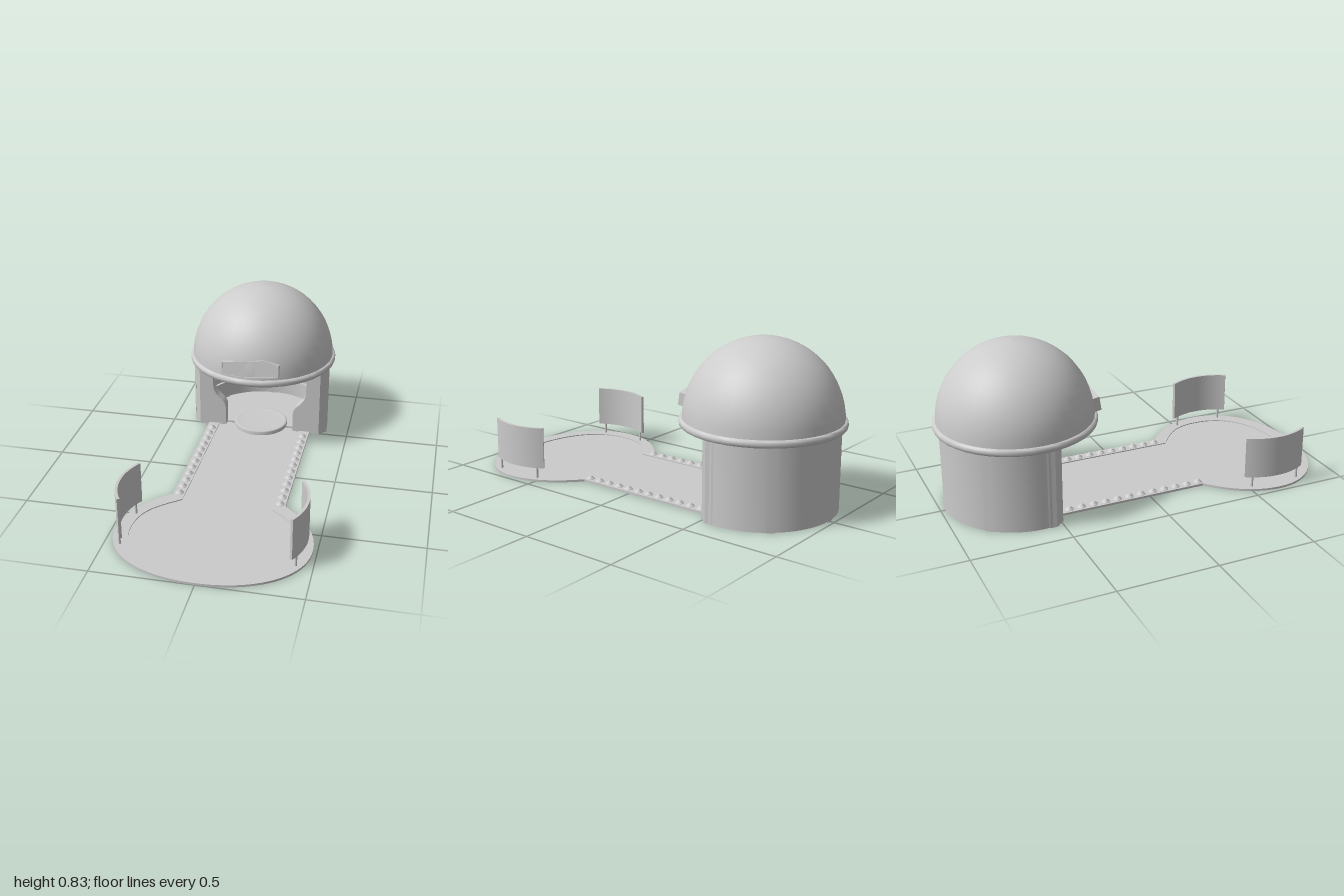
import * as THREE from 'three';
import { toCreasedNormals } from 'three/addons/utils/BufferGeometryUtils.js';

const V = (x, y) => new THREE.Vector2(x, y);
const CZ = -0.597; // centre of the round building
const RAD = Math.PI / 180;

export function createModel() {
  const group = new THREE.Group();
  const grey = new THREE.MeshStandardMaterial({ color: 0xcccccc, side: THREE.DoubleSide });

  const add = (name, geometry, x = 0, y = 0, z = 0, parent = group) => {
    const mesh = new THREE.Mesh(geometry, grey);
    mesh.name = name;
    mesh.position.set(x, y, z);
    parent.add(mesh);
    return mesh;
  };
  const extrude = (shape, depth) =>
    new THREE.ExtrudeGeometry(shape, { depth, bevelEnabled: false, curveSegments: 12 });
  // Plan outline in (x, z), raised from y0 to y1
  const slab = (points, y0, y1) =>
    toCreasedNormals(extrude(new THREE.Shape(points), y1 - y0).rotateX(Math.PI / 2).translate(0, y1, 0), 0.5);
  // Rectangular section swept around the building, centred on a bearing measured from the back
  const arcBand = (r0, r1, y0, y1, bearing, half, segments) => toCreasedNormals(
    new THREE.LatheGeometry([V(r0, y0), V(r1, y0), V(r1, y1), V(r0, y1), V(r0, y0)],
      segments, Math.PI + (bearing - half) * RAD, 2 * half * RAD), 0.6);

  // Ground: recessed floor inside a raised border
  const halfOutline = (neckX, neckZ, wideX, wideZ, endZ) => {
    const path = new THREE.Path();
    path.moveTo(neckX, -0.52);
    path.lineTo(neckX, neckZ);
    path.bezierCurveTo(neckX + 0.11, neckZ + 0.09, wideX, wideZ - 0.15, wideX, wideZ);
    path.bezierCurveTo(wideX, wideZ + 0.2, wideX * 0.6, endZ, 0, endZ);
    return path.getPoints(20);
  };
  const mirrored = (half) => [...half, ...half.slice(0, -1).reverse().map((p) => V(-p.x, p.y))];
  const outer = mirrored(halfOutline(0.29, 0.3, 0.48, 0.65, 1.0));
  const inner = mirrored(halfOutline(0.23, 0.34, 0.41, 0.63, 0.925));
  add('groundBorder', slab([...outer, ...inner.slice().reverse()], 0, 0.011));
  add('groundFloor', slab(inner, 0, 0.006));

  // Round building floor, ceiling, wall and ribs
  const floorPoints = [];
  for (let i = 0; i <= 32; i++) {
    const a = Math.PI + (-100 + i * 6.25) * RAD;
    floorPoints.push(V(0.372 * Math.sin(a), CZ + 0.372 * Math.cos(a)));
  }
  add('buildingFloor', slab(floorPoints, 0, 0.01));
  add('wall', arcBand(0.35, 0.375, 0, 0.41, 0, 100, 40), 0, 0, CZ);
  for (const bearing of [-98, -50, 0, 50, 98]) {
    add('wallRib', arcBand(0.343, 0.38, 0, 0.41, bearing, 3.6, 2), 0, 0, CZ);
  }
  for (const y of [0.103, 0.15, 0.205]) {
    add('innerLedge', arcBand(0.335, 0.355, y, y + 0.013, 0, 98, 40), 0, 0, CZ);
  }
  add('ceiling', new THREE.CylinderGeometry(0.385, 0.385, 0.008, 32), 0, 0.416, CZ);

  // Flared front wings beside the opening, with chamfered outer corners
  for (const side of [1, -1]) {
    const wing = new THREE.Shape();
    wing.moveTo(side * 0.342, 0);
    wing.lineTo(side * 0.342, 0.41);
    wing.lineTo(side * 0.265, 0.41);
    wing.lineTo(side * 0.265, 0.25);
    wing.bezierCurveTo(side * 0.262, 0.17, side * 0.195, 0.17, side * 0.193, 0.115);
    wing.lineTo(side * 0.193, 0);
    add('frontWing', toCreasedNormals(extrude(wing, 0.06), 0.5), 0, 0, -0.55);
    add('wingCorner', slab([V(0.34, -0.49), V(0.381, -0.535), V(0.37, -0.6), V(0.34, -0.6)]
      .map((p) => V(side * p.x, p.y)), 0, 0.41));
  }

  // Dome and its rounded rim
  const domeProfile = [];
  for (let i = 0; i <= 14; i++) {
    const a = (i / 14) * Math.PI / 2;
    domeProfile.push(V(0.389 * Math.cos(a), 0.43 + 0.4 * Math.sin(a)));
  }
  add('dome', new THREE.LatheGeometry(domeProfile, 36), 0, 0, CZ);
  add('domeRim', toCreasedNormals(new THREE.LatheGeometry([
    V(0.37, 0.405), V(0.396, 0.405), V(0.402, 0.411), V(0.404, 0.422), V(0.402, 0.434),
    V(0.396, 0.44), V(0.375, 0.44), V(0.37, 0.405)], 40), 0.8), 0, 0, CZ);

  // Framed blank plaque on the dome front
  const plaquePoints = (s) => [[-0.15, 0.028], [0.075, 0.053], [0.155, 0.03], [0.155, -0.034],
    [-0.05, -0.052], [-0.15, -0.043]].map(([x, y]) => V(x * s, y * (s < 1 ? 0.89 : 1)));
  const frame = new THREE.Shape(plaquePoints(1));
  frame.holes.push(new THREE.Path(plaquePoints(0.965)));
  const plaque = new THREE.Group();
  plaque.name = 'plaque';
  plaque.position.set(0, 0.5, -0.215);
  plaque.rotation.x = -0.15;
  add('plaqueFrame', extrude(frame, 0.045), 0, 0, -0.04, plaque);
  add('plaquePanel', extrude(new THREE.Shape(plaquePoints(0.965)), 0.038), 0, 0, -0.04, plaque);
  group.add(plaque);

  // Low round platform inside the building
  add('platform', new THREE.LatheGeometry([V(0.15, 0.006), V(0.15, 0.024), V(0.146, 0.029),
    V(0.128, 0.029), V(0.124, 0.025), V(0, 0.025)], 36), 0, 0, -0.55);

  // Lamp studs along the path edges
  for (const x of [-0.26, 0.26]) {
    for (let i = 0; i < 12; i++) {
      add('pathLamp', new THREE.LatheGeometry([V(0.023, 0.01), V(0.021, 0.015), V(0.014, 0.017),
        V(0.012, 0.022), V(0.007, 0.026), V(0, 0.027)], 12), x, 0, 0.283 - i * 0.0645);
    }
  }

  // Curved screens on posts at both sides of the plaza
  for (const side of [1, -1]) {
    const screen = new THREE.Shape();
    const bend = 32.5 * RAD;
    screen.absarc(0, 0, 0.316, -bend, bend, false);
    screen.absarc(0, 0, 0.302, bend, -bend, true);
    const geometry = toCreasedNormals(
      extrude(screen, 0.215).rotateX(Math.PI / 2).translate(0, 0.28, 0), 0.5);
    const panel = add('curvedScreen', geometry, side * 0.141, 0, 0.643);
    if (side < 0) panel.rotation.y = Math.PI;
    for (const z of [0.511, 0.775]) {
      add('screenPost', new THREE.CylinderGeometry(0.006, 0.006, 0.075, 10), side * 0.42, 0.0375, z);
    }
  }
  return group;
}
